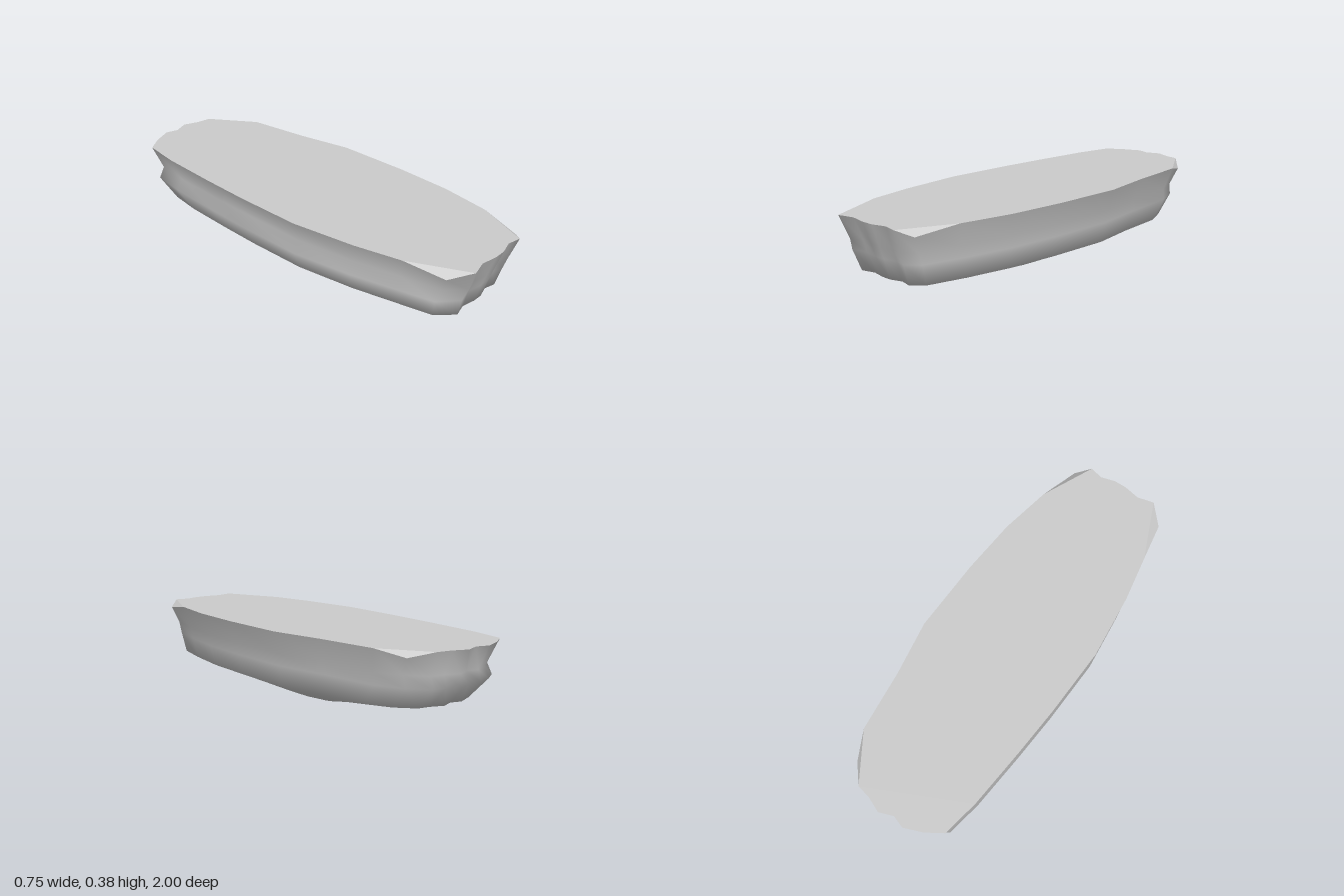
import * as THREE from 'three';

// Rim outline as [x, z], starting at the back and running round by +x
const RIM = [
  [0.02, -1], [0.09, -0.97], [0.16, -0.955], [0.24, -0.865], [0.3, -0.73], [0.33, -0.43], [0.372, -0.16],
  [0.36, 0.2], [0.335, 0.48], [0.285, 0.73], [0.23, 0.93], [0.165, 0.985], [0.1, 0.97], [0.03, 0.99],
  [-0.03, 0.99], [-0.11, 0.975], [-0.19, 0.995], [-0.275, 0.91], [-0.31, 0.71], [-0.35, 0.48], [-0.38, 0.16],
  [-0.365, -0.18], [-0.345, -0.43], [-0.315, -0.73], [-0.28, -0.91], [-0.2, -0.96], [-0.11, -0.995], [-0.05, -0.975],
];
const TOP = 0.379;
const DIPS = [3, 10, 17]; // rim corners that sag a little
const DIP_Y = 0.35;

// Horizontal sections: height, then the rim's scale towards +x, -x, +z, -z
const SECTIONS = [
  [TOP, 1, 1, 1, 1],
  [0.27, 0.905, 0.887, 0.96, 0.955],
  [0.215, 0.9, 0.97, 0.94, 0.965],
  [0.118, 0.855, 0.855, 0.91, 0.87],
  [0.05, 0.43, 0.45, 0.5, 0.42],
  [0.008, 0.18, 0.26, 0.25, 0.2],
];

function bufferGeometry(positions, indices) {
  const g = new THREE.BufferGeometry();
  g.setAttribute('position', new THREE.Float32BufferAttribute(positions, 3));
  g.setIndex(indices);
  g.computeVertexNormals();
  return g;
}

// Smooth shell lofted from the rim down to the keel
function hullGeometry() {
  const n = RIM.length, positions = [], indices = [];
  SECTIONS.forEach(([y, px, nx, pz, nz], k) => {
    RIM.forEach(([x, z], i) => {
      const h = k === 0 && DIPS.includes(i) ? DIP_Y : y;
      positions.push(x * (x > 0 ? px : nx), h, z * (z > 0 ? pz : nz));
    });
  });
  for (let k = 0; k < SECTIONS.length - 1; k++) {
    for (let i = 0; i < n; i++) {
      const a = k * n + i, b = k * n + (i + 1) % n;
      indices.push(a, b, a + n, b, b + n, a + n);
    }
  }
  // Close the bottom
  const last = (SECTIONS.length - 1) * n, centre = positions.length / 3;
  positions.push(-0.01, 0.004, 0.02);
  for (let i = 0; i < n; i++) indices.push(last + i, last + (i + 1) % n, centre);
  return bufferGeometry(positions, indices);
}

// Flat top without the sagging corners
function deckGeometry() {
  const outline = RIM.filter((_, i) => !DIPS.includes(i)).map(([x, z]) => new THREE.Vector2(x, -z));
  return new THREE.ShapeGeometry(new THREE.Shape(outline)).rotateX(-Math.PI / 2).translate(0, TOP, 0);
}

// Small sloping triangle filling a sagging corner
function cornerGeometry(i) {
  const p = (j, y) => [RIM[j][0], y, RIM[j][1]];
  return bufferGeometry([...p(i + 1, TOP), ...p(i, DIP_Y), ...p(i - 1, TOP)], [0, 1, 2]);
}

export function createModel() {
  const model = new THREE.Group();
  model.name = 'hullBlock';
  const material = new THREE.MeshStandardMaterial({ color: 0xcccccc, side: THREE.DoubleSide });
  const add = (name, geometry) => {
    const mesh = new THREE.Mesh(geometry, material);
    mesh.name = name;
    model.add(mesh);
  };
  add('hull', hullGeometry());
  add('deck', deckGeometry());
  DIPS.forEach((i, k) => add('deckCorner' + (k + 1), cornerGeometry(i)));
  return model;
}
